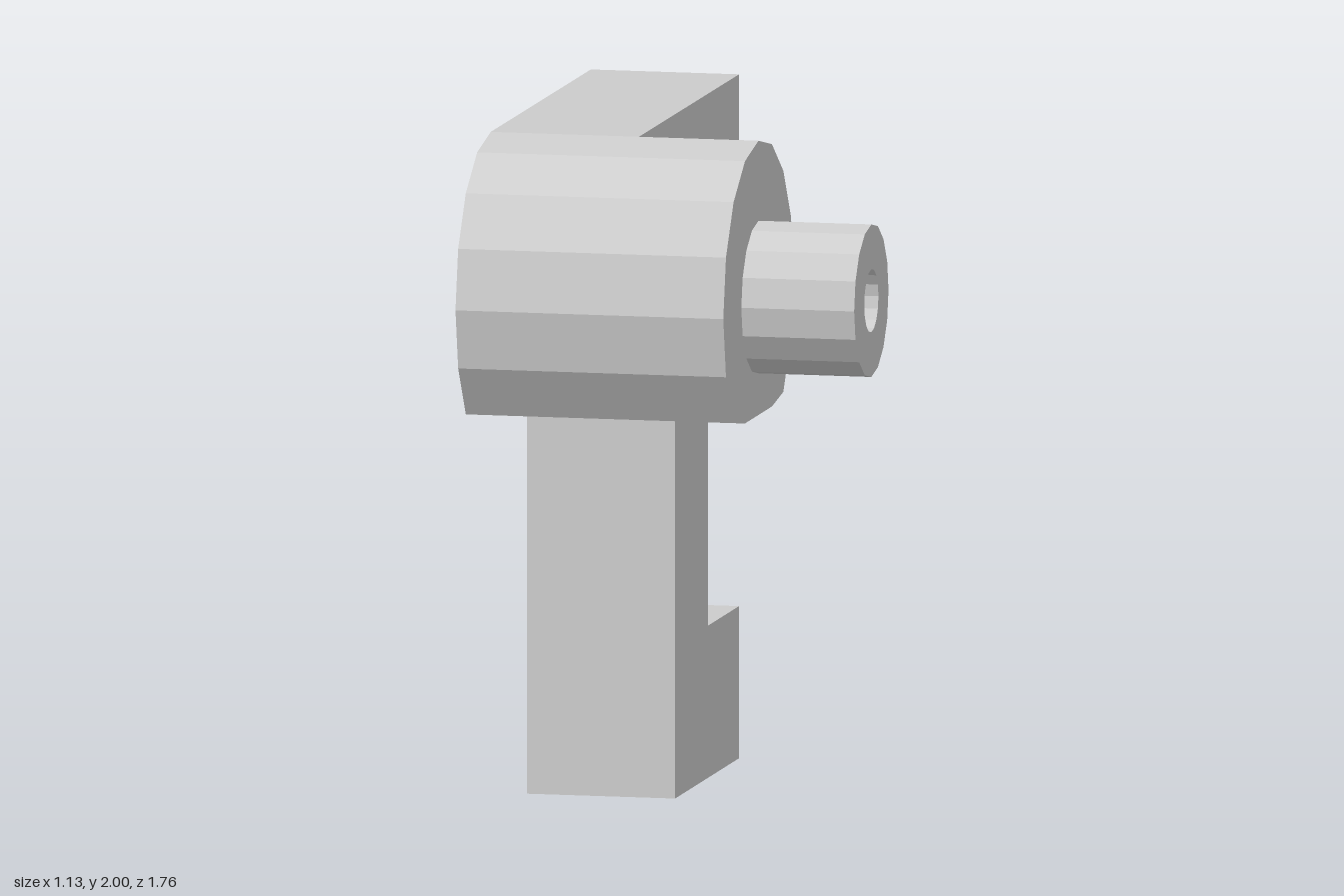
import * as THREE from 'three';

const material = new THREE.MeshStandardMaterial({ color: 0xcccccc, flatShading: true });
const AXIS_U = -0.42, AXIS_Y = 1.545, FLOOR_Y = 1.2;

// 16-sided ring around the pin axis, from angle step a to b; profiles use u = -z
function ring(radius, a = 0, b = 15, floor = -Infinity) {
  const points = [];
  for (let i = a; i <= b; i++) {
    const t = i * Math.PI / 8;
    points.push(new THREE.Vector2(
      AXIS_U + radius * Math.cos(t),
      Math.max(floor, AXIS_Y + radius * Math.sin(t))));
  }
  return points;
}

// Extrude a side profile across the model from x0 to x1
function slab(name, points, x0, x1, hole) {
  const shape = new THREE.Shape(points);
  if (hole) shape.holes.push(new THREE.Path(hole));
  const geometry = new THREE.ExtrudeGeometry(shape, { depth: x1 - x0, bevelEnabled: false });
  geometry.rotateY(Math.PI / 2).translate(x0, 0, 0);
  const mesh = new THREE.Mesh(geometry, material);
  mesh.name = name;
  return mesh;
}

export function createModel() {
  const group = new THREE.Group();
  group.name = 'pinBracket';

  // C-shaped bracket whose upper arm ends in a rounded nose
  const feet = [
    [0.05, FLOOR_Y], [0.05, 0], [0.88, 0], [0.88, 0.445],
    [0.475, 0.445], [0.475, 1.52], [0.88, 1.52], [0.88, 2],
  ].map(([u, y]) => new THREE.Vector2(u, y));
  group.add(slab('bracket', [...ring(0.457, 4, 11, FLOOR_Y), ...feet], -0.565, -0.125));

  // Round boss with a flat underside
  group.add(slab('boss', ring(0.457, 0, 15, FLOOR_Y), -0.125, 0.23));

  // Hollow pin, closed at its base by the boss
  group.add(slab('hollowPin', ring(0.223), 0.23, 0.565, ring(0.092)));

  return group;
}
